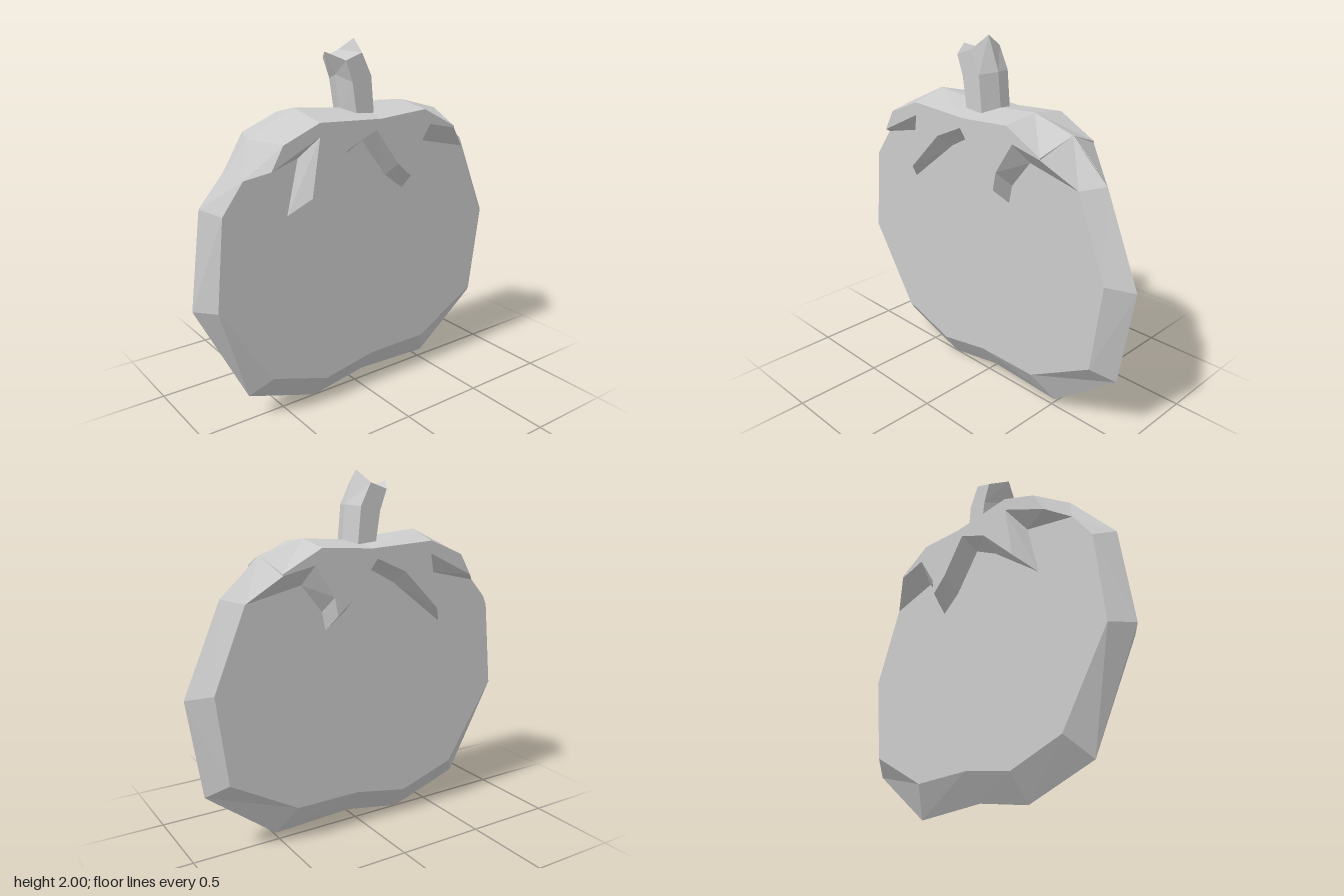
import * as THREE from 'three';

const material = new THREE.MeshStandardMaterial({ color: 0xcccccc, flatShading: true });

function makeMesh(name, positions) {
  const geometry = new THREE.BufferGeometry();
  geometry.setAttribute('position', new THREE.Float32BufferAttribute(positions, 3));
  geometry.computeVertexNormals();
  const mesh = new THREE.Mesh(geometry, material);
  mesh.name = name;
  return mesh;
}

// Slab with a flat face at depth z and a bevel down to the rim, mirrored front to back.
// Each row is [face x, face y, rim x, rim y, rim z], counter-clockwise from the front.
function bevelledSlab(name, rows, z) {
  const face = rows.map(r => [r[0], r[1], z]);
  const rim = rows.map(r => [r[2], r[3], r[4] ?? 0]);
  const triangles = THREE.ShapeUtils
    .triangulateShape(face.map(p => new THREE.Vector2(p[0], p[1])), [])
    .map(t => t.map(i => face[i]));
  rows.forEach((_, i) => {
    const j = (i + 1) % rows.length;
    triangles.push([face[i], rim[i], rim[j]], [face[i], rim[j], face[j]]);
  });
  const positions = [];
  for (const [a, b, c] of triangles) {
    positions.push(...a, ...b, ...c);
    for (const p of [a, c, b]) positions.push(p[0], p[1], -p[2]);
  }
  return makeMesh(name, positions);
}

// Six-sided stem lofted through sections of four points in the front plane:
// left ridge, front left, front right, right ridge.
function makeStem(sections, halfDepth) {
  const rings = sections.map(([l, fl, fr, r]) => [
    [...l, 0], [...fl, halfDepth], [...fr, halfDepth],
    [...r, 0], [...fr, -halfDepth], [...fl, -halfDepth],
  ]);
  const positions = [];
  for (let s = 0; s < rings.length - 1; s++) {
    for (let i = 0; i < 6; i++) {
      const j = (i + 1) % 6;
      const [a, b, c, d] = [rings[s][i], rings[s][j], rings[s + 1][j], rings[s + 1][i]];
      positions.push(...a, ...b, ...c, ...a, ...c, ...d);
    }
  }
  // Cut top
  const top = rings[rings.length - 1];
  for (const [i, j, k] of [[0, 1, 5], [1, 2, 5], [2, 4, 5], [2, 3, 4]]) {
    positions.push(...top[i], ...top[j], ...top[k]);
  }
  return makeMesh('stem', positions);
}

export function createModel() {
  const model = new THREE.Group();
  model.name = 'tomato';

  // Flat fruit with a sharp ridge around its edge
  model.add(bevelledSlab('fruitBody', [
    [-0.91, 0.72, -1.0, 0.72],
    [-0.61, 0.26, -0.71, 0.14],
    [-0.27, 0.15, -0.29, 0.0],
    [0.05, 0.21, 0.05, 0.06],
    [0.43, 0.21, 0.52, 0.04],
    [0.82, 0.43, 0.92, 0.35],
    [0.88, 0.92, 1.0, 0.89],
    [0.70, 1.36, 0.79, 1.38],
    [0.50, 1.46, 0.57, 1.58],
    [0.30, 1.50, 0.30, 1.60],
    [-0.36, 1.50, -0.36, 1.60],
    [-0.74, 1.37, -0.65, 1.55],
    [-0.86, 1.21, -0.93, 1.24],
  ], 0.105));

  // Jagged leaf cap: pointed lower edge on the fruit, ridge along the top
  const onFruit = 0.105;
  model.add(bevelledSlab('leafCap', [
    [-0.64, 1.42, -0.74, 1.37, onFruit],
    [-0.36, 1.555, -0.43, 1.44, onFruit],
    [-0.41, 1.25, -0.50, 1.15, onFruit],
    [-0.19, 1.47, -0.18, 1.40, onFruit],
    [-0.01, 1.55, -0.03, 1.48, onFruit],
    [0.14, 1.35, 0.13, 1.27, onFruit],
    [0.23, 1.27, 0.25, 1.18, onFruit],
    [0.25, 1.37, 0.27, 1.28, onFruit],
    [0.36, 1.54, 0.39, 1.43, onFruit],
    [0.54, 1.50, 0.70, 1.36, onFruit],
    [0.54, 1.51, 0.57, 1.585],
    [0.32, 1.625, 0.32, 1.655],
    [0.02, 1.605, 0.05, 1.635],
    [-0.36, 1.625, -0.38, 1.675],
    [-0.57, 1.54, -0.65, 1.55],
  ], 0.205));

  // Bent stem
  model.add(makeStem([
    [[-0.10, 1.61], [-0.06, 1.60], [0.05, 1.60], [0.085, 1.61]],
    [[-0.125, 1.82], [-0.09, 1.79], [0.03, 1.815], [0.065, 1.82]],
    [[-0.19, 1.94], [-0.13, 1.90], [-0.03, 1.935], [-0.005, 2.0]],
  ], 0.105));

  return model;
}
